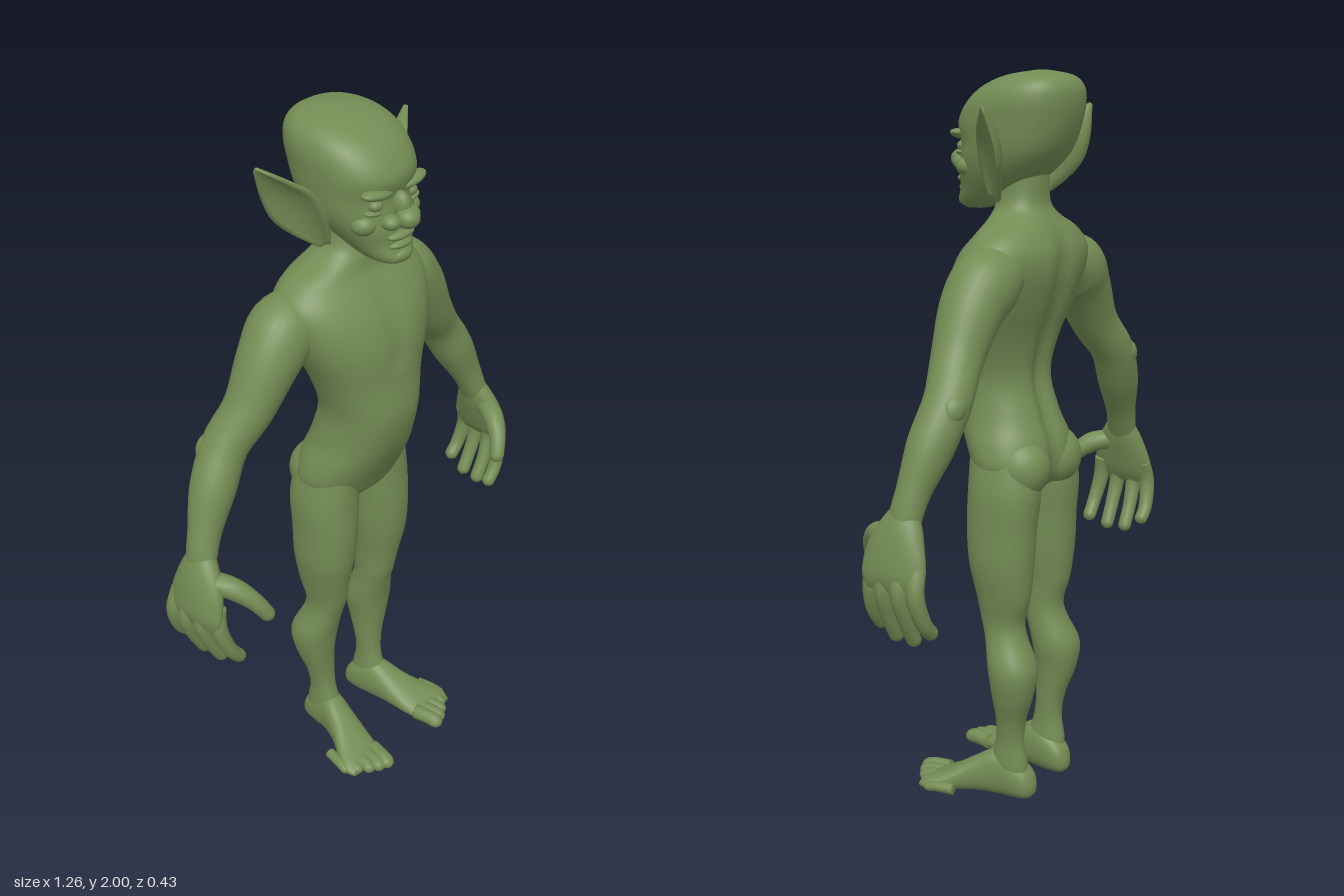
import * as THREE from 'three';

const skin = new THREE.MeshStandardMaterial({ color: 0x738c54 });
skin.name = 'green skin';
const V = (x, y, z) => new THREE.Vector3(x, y, z);

// Smooth rows of numbers with a Catmull-Rom spline, n steps per span
function smooth(rows, n) {
  const out = [];
  const at = i => rows[Math.max(0, Math.min(rows.length - 1, i))];
  for (let i = 0; i < rows.length - 1; i++) {
    for (let k = 0; k < n; k++) {
      const t = k / n;
      out.push(rows[i].map((b, c) => {
        const a = at(i - 1)[c], d = at(i + 1)[c], e = at(i + 2)[c];
        return b + 0.5 * t * (d - a + t * (2 * a - 5 * b + 4 * d - e + t * (3 * (b - d) + e - a)));
      }));
    }
  }
  out.push(rows[rows.length - 1]);
  return out;
}

// Skin a list of closed rings, cap both ends and face the surface outward
function loft(name, rings) {
  const n = rings[0].length, pts = rings.flat(), idx = [];
  for (let r = 0; r < rings.length - 1; r++) {
    for (let j = 0; j < n; j++) {
      const a = r * n + j, b = r * n + (j + 1) % n;
      idx.push(a, b, a + n, b, b + n, a + n);
    }
  }
  for (const end of [0, rings.length - 1]) {
    const c = pts.length;
    pts.push(rings[end].reduce((s, p) => s.add(p), V(0, 0, 0)).divideScalar(n));
    for (let j = 0; j < n; j++) {
      const a = end * n + j, b = end * n + (j + 1) % n;
      if (end) idx.push(a, b, c); else idx.push(b, a, c);
    }
  }
  let volume = 0;
  for (let i = 0; i < idx.length; i += 3) {
    volume += pts[idx[i]].dot(V(0, 0, 0).crossVectors(pts[idx[i + 1]], pts[idx[i + 2]]));
  }
  if (volume < 0) idx.reverse();
  const g = new THREE.BufferGeometry().setFromPoints(pts);
  g.setIndex(idx);
  g.computeVertexNormals();
  const m = new THREE.Mesh(g, skin);
  m.name = name;
  return m;
}

// Rounded cross-section
function oval(n, power, place) {
  return Array.from({ length: n }, (_, j) => {
    const a = j / n * Math.PI * 2, c = Math.cos(a), s = Math.sin(a);
    return place(Math.sign(c) * Math.abs(c) ** (2 / power), Math.sign(s) * Math.abs(s) ** (2 / power));
  });
}

// Body of level slices: [y, centre x, half width, front z, back z]
function stack(name, rows, side, power = 2.2, n = 40, rule = p => p) {
  return loft(name, smooth(rows, 5).map(([y, x, w, f, b]) =>
    oval(n, power, (c, s) => rule(V(side * (x + w * c), y, (f + b) / 2 + (f - b) / 2 * s)))));
}

// Limb along a path: [x, y, z, radius across, radius toward ref]
function limb(name, rows, side, ref = V(0, 0, 1), n = 20, roundTip = false) {
  const p = smooth(rows, roundTip ? 9 : 6), pos = p.map(r => V(r[0], r[1], r[2]));
  const end = pos[pos.length - 1];
  return loft(name, p.map((r, i) => {
    const t = pos[Math.min(i + 1, p.length - 1)].clone().sub(pos[Math.max(i - 1, 0)]).normalize();
    const u = V(0, 0, 0).crossVectors(t, ref).normalize();
    const v = V(0, 0, 0).crossVectors(u, t);
    const d = Math.min(1, pos[i].distanceTo(end) / r[3]);
    const k = roundTip ? Math.max(0.04, Math.sqrt(1 - (1 - d) ** 2)) : 1;
    return oval(n, 2, (c, s) => {
      const q = pos[i].clone().addScaledVector(u, c * r[3] * k).addScaledVector(v, s * r[4] * k);
      q.x *= side;
      return q;
    });
  }));
}

function blob(name, x, y, z, rx, ry, rz, tilt = 0) {
  const m = new THREE.Mesh(new THREE.SphereGeometry(1, 24, 16), skin);
  m.name = name;
  m.position.set(x, y, z);
  m.scale.set(rx, ry, rz);
  m.rotation.z = tilt;
  return m;
}

// Cupped pointed ear between a front rim and a back rim
function ear(side) {
  const rows = smooth([
    [0.11, 1.69, -0.015, 0.11, 1.67, -0.05, 0.01], [0.135, 1.77, 0, 0.165, 1.71, -0.085, 0.03],
    [0.165, 1.835, -0.01, 0.212, 1.76, -0.112, 0.036], [0.212, 1.875, -0.045, 0.24, 1.825, -0.12, 0.024],
    [0.268, 1.912, -0.1, 0.27, 1.905, -0.108, 0.002]], 6);
  return loft('ear', rows.map(r => {
    const f = V(r[0], r[1], r[2]), b = V(r[3], r[4], r[5]), ring = [];
    for (let j = 0; j < 24; j++) {
      const outer = j < 12, t = outer ? j / 12 : 2 - j / 12;
      const depth = Math.sin(Math.PI * t) * (outer ? r[6] : r[6] * 0.5) + (outer ? 0.006 : -0.003);
      const q = f.clone().lerp(b, t).addScaledVector(V(-0.77, 0.34, -0.54), depth);
      q.x *= side;
      ring.push(q);
    }
    return ring;
  }));
}

export function createModel() {
  const model = new THREE.Group();
  model.name = 'goblin';

  // Torso and neck, with a furrow down the spine and a faint one down the chest
  model.add(stack('torso', [
    [0.88, 0, 0.05, -0.01, -0.11], [0.92, 0, 0.14, 0.03, -0.155], [0.97, 0, 0.172, 0.055, -0.17],
    [1.03, 0, 0.165, 0.085, -0.165], [1.1, 0, 0.143, 0.115, -0.14], [1.2, 0, 0.134, 0.138, -0.115],
    [1.3, 0, 0.16, 0.128, -0.13], [1.4, 0, 0.203, 0.122, -0.165], [1.48, 0, 0.23, 0.1, -0.187],
    [1.54, 0, 0.235, 0.065, -0.187], [1.59, 0, 0.19, 0.028, -0.165], [1.63, 0, 0.11, 0.018, -0.14],
    [1.67, 0, 0.074, 0.01, -0.122], [1.76, 0, 0.07, 0, -0.12]], 1, 2.25, 64, p => {
    const line = Math.exp(-((p.x / 0.03) ** 2)), body = THREE.MathUtils.smoothstep(1.62 - p.y, 0, 0.12);
    if (p.z < -0.05) p.z += line * body * 0.022;
    else if (p.y > 1.35) p.z -= line * body * 0.008;
    return p;
  }));

  // Skull and jaw
  const head = new THREE.Group();
  head.name = 'head';
  head.add(stack('skull', [
    [1.643, 0, 0.025, 0.115, 0.06], [1.66, 0, 0.058, 0.135, 0], [1.7, 0, 0.088, 0.122, -0.07],
    [1.74, 0, 0.112, 0.12, -0.125], [1.78, 0, 0.128, 0.112, -0.165], [1.82, 0, 0.135, 0.108, -0.19],
    [1.87, 0, 0.139, 0.116, -0.208], [1.92, 0, 0.139, 0.088, -0.217], [1.96, 0, 0.125, 0.04, -0.212],
    [1.987, 0, 0.088, -0.025, -0.185], [2, 0, 0.012, -0.1, -0.125]], 1, 2.3, 48));

  // Face
  head.add(blob('noseBridge', 0, 1.798, 0.112, 0.022, 0.036, 0.03));
  head.add(blob('noseTip', 0, 1.77, 0.137, 0.031, 0.027, 0.032));
  head.add(blob('upperLip', 0, 1.722, 0.115, 0.046, 0.013, 0.022));
  head.add(blob('lowerLip', 0, 1.697, 0.113, 0.04, 0.012, 0.022));
  head.add(blob('chin', 0, 1.667, 0.113, 0.037, 0.021, 0.026));
  for (const s of [1, -1]) {
    head.add(blob('nostril', s * 0.036, 1.763, 0.115, 0.025, 0.019, 0.025));
    head.add(blob('eye', s * 0.063, 1.808, 0.089, 0.02, 0.015, 0.018));
    head.add(blob('brow', s * 0.06, 1.837, 0.092, 0.052, 0.014, 0.026, s * 0.14));
    head.add(blob('eyeBag', s * 0.066, 1.789, 0.086, 0.03, 0.008, 0.018, s * 0.15));
    head.add(blob('cheek', s * 0.077, 1.757, 0.065, 0.036, 0.028, 0.034));
    head.add(ear(s));
  }
  model.add(head);

  for (const s of [1, -1]) {
    const word = s > 0 ? 'left' : 'right';

    // Leg
    const leg = new THREE.Group();
    leg.name = word + 'Leg';
    leg.add(blob('buttock', s * 0.083, 0.965, -0.1, 0.08, 0.085, 0.083));
    leg.add(stack('thighAndCalf', [
      [1, 0.095, 0.07, 0.04, -0.15], [0.9, 0.1025, 0.083, 0.04, -0.163], [0.8, 0.107, 0.08, 0.042, -0.155],
      [0.7, 0.11, 0.076, 0.035, -0.15], [0.6, 0.108, 0.06, 0.015, -0.14], [0.53, 0.104, 0.052, 0.003, -0.122],
      [0.48, 0.107, 0.055, -0.012, -0.13], [0.4, 0.117, 0.068, -0.03, -0.165], [0.32, 0.117, 0.056, -0.04, -0.156],
      [0.24, 0.108, 0.041, -0.045, -0.13], [0.17, 0.104, 0.034, -0.04, -0.122], [0.1, 0.102, 0.037, -0.02, -0.135],
      [0.05, 0.1, 0.036, -0.02, -0.13]], s));

    // Foot slices: [z, centre x, half width, top y, bottom y]
    leg.add(loft('foot', smooth([
      [-0.156, 0.095, 0.012, 0.05, 0.022], [-0.14, 0.095, 0.034, 0.085, 0.005], [-0.1, 0.098, 0.043, 0.12, 0],
      [-0.045, 0.104, 0.044, 0.14, 0], [0.02, 0.12, 0.052, 0.105, 0.002], [0.08, 0.142, 0.066, 0.068, 0],
      [0.125, 0.157, 0.071, 0.048, 0], [0.155, 0.16, 0.06, 0.032, 0.006]], 5).map(([z, x, w, t, b]) =>
      oval(32, 2.3, (c, k) => V(s * (x + w * c), (t + b) / 2 + (t - b) / 2 * k, z)))));
    for (let i = 0; i < 5; i++) {
      const x = 0.108 + 0.026 * i, r = 0.023 - 0.0018 * i, tip = 0.213 - 0.008 * i - 0.003 * i * i;
      leg.add(limb('toe', [[x - 0.005, 0.027, tip - 0.09, r, r], [x + 0.004, 0.027, tip - 0.04, r, r * 0.95],
        [x + 0.01, 0.019, tip, r, r * 0.85]], s, V(0, 1, 0), 12, true));
    }
    model.add(leg);

    // Arm
    const arm = new THREE.Group();
    arm.name = word + 'Arm';
    arm.add(limb('upperArmAndForearm', [
      [0.13, 1.5, -0.08, 0.06, 0.07], [0.215, 1.475, -0.08, 0.092, 0.09], [0.28, 1.41, -0.075, 0.083, 0.083],
      [0.35, 1.3, -0.08, 0.066, 0.068], [0.42, 1.21, -0.1, 0.06, 0.063], [0.48, 1.11, -0.09, 0.061, 0.06],
      [0.53, 1.01, -0.075, 0.045, 0.045], [0.557, 0.94, -0.065, 0.036, 0.044], [0.57, 0.89, -0.06, 0.025, 0.04]],
    s, V(0, 0, 1), 28));
    arm.add(blob('elbow', s * 0.445, 1.2, -0.13, 0.036, 0.045, 0.036, s * 0.6));

    // Hand
    arm.add(limb('palm', [
      [0.552, 0.96, -0.065, 0.03, 0.038], [0.567, 0.915, -0.06, 0.036, 0.065], [0.583, 0.86, -0.055, 0.035, 0.087],
      [0.597, 0.8, -0.055, 0.028, 0.093], [0.602, 0.765, -0.055, 0.014, 0.08]], s, V(0, 0, 1), 28));
    [0.012, -0.032, -0.08, -0.124].forEach((z, i) => {
      const drop = [0.022, 0, 0, 0.035][i], x = [-0.022, -0.006, 0, 0][i], dz = [0.018, 0.006, -0.004, -0.014][i];
      arm.add(limb('finger', [
        [0.59 + x / 2, 0.83, z, 0.02, 0.023], [0.608 + x, 0.765, z + dz * 0.4, 0.022, 0.024],
        [0.586 + x, 0.69, z + dz, 0.02, 0.021], [0.545 + x, 0.612 + drop, z + dz, 0.019, 0.02]],
      s, V(0, 0, 1), 14, true));
    });
    arm.add(limb('thumb', [
      [0.573, 0.895, -0.03, 0.03, 0.032], [0.54, 0.882, 0.03, 0.03, 0.031], [0.507, 0.843, 0.075, 0.024, 0.025],
      [0.474, 0.782, 0.1, 0.02, 0.021]], s, V(0, 0, 1), 16, true));
    model.add(arm);
  }
  return model;
}
